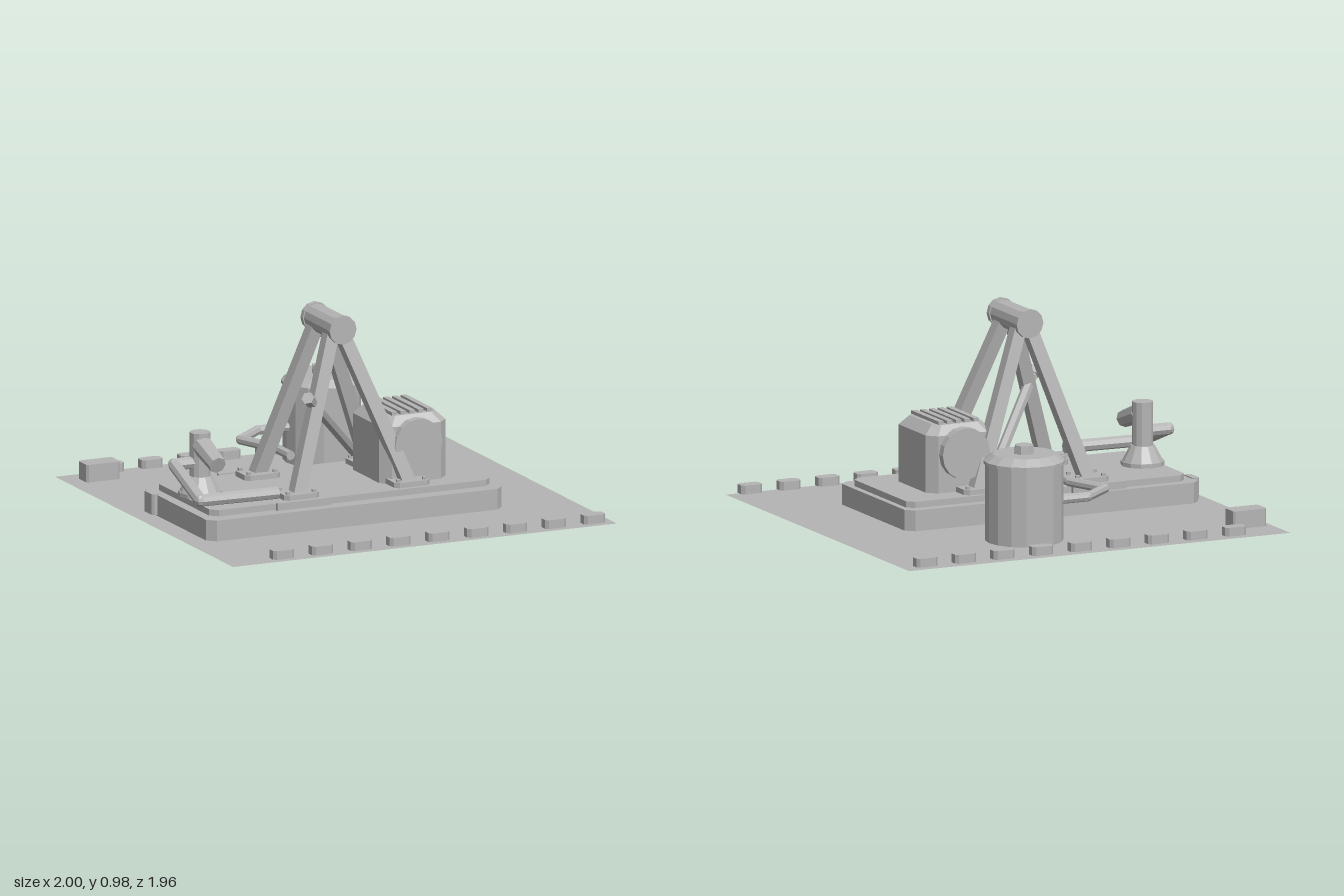
import * as THREE from 'three';

export function createModel() {
  const root = new THREE.Group();
  root.name = 'pumpSite';
  const grey = new THREE.MeshStandardMaterial({ color: 0xb4b4b4, flatShading: true, side: THREE.DoubleSide });
  grey.name = 'plain grey';
  const V = (x, y, z) => new THREE.Vector3(x, y, z);

  const add = (name, geo, parent = root) => {
    const m = new THREE.Mesh(geo, grey);
    m.name = name;
    parent.add(m);
    return m;
  };
  const group = (name) => {
    const g = new THREE.Group();
    g.name = name;
    root.add(g);
    return g;
  };
  // Upright block with its four vertical corners cut off by c
  const block = (name, [x0, x1], [y0, y1], [z0, z1], c, parent) => {
    const pts = [
      [x0 + c, -z1], [x1 - c, -z1], [x1, -z1 + c], [x1, -z0 - c],
      [x1 - c, -z0], [x0 + c, -z0], [x0, -z0 - c], [x0, -z1 + c],
    ].map(([x, y]) => new THREE.Vector2(x, y));
    const geo = new THREE.ExtrudeGeometry(new THREE.Shape(pts), { depth: y1 - y0, bevelEnabled: false });
    geo.rotateX(-Math.PI / 2).translate(0, y0, 0);
    return add(name, geo, parent);
  };
  // Round or square bar between two points
  const bar = (name, a, b, r0, r1, sides, parent) => {
    const dir = b.clone().sub(a);
    const geo = new THREE.CylinderGeometry(r1, r0, dir.length(), sides);
    if (sides === 4) geo.rotateY(Math.PI / 4);
    const m = add(name, geo, parent);
    m.position.copy(a).add(b).multiplyScalar(0.5);
    m.quaternion.setFromUnitVectors(V(0, 1, 0), dir.normalize());
    return m;
  };
  // Faceted pipe with knuckles at its bends
  const pipe = (name, pts, r) => {
    const g = group(name);
    for (let i = 1; i < pts.length; i++) {
      bar('pipeLength', pts[i - 1], pts[i], r, r, 8, g);
      if (i < pts.length - 1) {
        add('pipeElbow', new THREE.SphereGeometry(r, 8, 6), g).position.copy(pts[i]);
      }
    }
  };

  // Ground sheet and its edge blocks
  add('ground', new THREE.PlaneGeometry(2, 1.96).rotateX(-Math.PI / 2));
  const kerb = group('edgeBlocks');
  for (const z of [-0.935, 0.94]) {
    for (let i = 0; i < 9; i++) {
      const x = -0.727 + i * 0.2025;
      block('edgeBlock', [x - 0.055, x + 0.055], [0.008, 0.05], [z - 0.033, z + 0.033], 0.015, kerb);
    }
  }
  block('cornerBox', [-0.94, -0.765], [0.015, 0.1], [-0.855, -0.755], 0.01);

  // Stepped plinth
  block('plinth', [-0.91, 0.63], [0.01, 0.11], [-0.215, 0.53], 0.04);
  block('plinthTop', [-0.86, 0.6], [0.11, 0.14], [-0.165, 0.455], 0.035);
  block('plinthLug', [-0.935, -0.9], [0.015, 0.115], [-0.145, -0.045], 0.01);
  for (const z of [-0.18, 0.467]) {
    block('plinthRail', [-0.53, -0.25], [0.11, 0.145], [z - 0.01, z + 0.01], 0.002);
  }

  // Four-legged frame with bolted feet
  const frame = group('frame');
  for (const side of [-1, 1]) {
    for (const end of [-1, 1]) {
      const fx = side < 0 ? -0.375 : 0.2;
      const fz = 0.145 + end * 0.215;
      bar('leg', V(fx, 0.15, 0.145 + end * 0.22), V(-0.11 + side * 0.025, 0.88, 0.145 + end * 0.085), 0.046, 0.043, 4, frame);
      block('foot', [fx - 0.092, fx + 0.092], [0.14, 0.165], [fz - 0.072, fz + 0.072], 0.02, frame);
      for (const bx of [-0.068, 0.068]) {
        for (const bz of [-0.048, 0.048]) {
          add('footBolt', new THREE.CylinderGeometry(0.012, 0.012, 0.014, 6), frame)
            .position.set(fx + bx, 0.171, fz + bz);
        }
      }
    }
  }
  bar('head', V(-0.11, 0.905, 0.0), V(-0.11, 0.905, 0.3), 0.064, 0.064, 12, frame);
  for (const z of [-0.012, 0.285]) {
    bar('headCollar', V(-0.11, 0.905, z), V(-0.11, 0.905, z + 0.026), 0.07, 0.07, 12, frame);
  }

  // Slanted rod through the frame
  const rod = group('rod');
  const rodTop = V(-0.31, 0.605, 0.345), rodFoot = V(0.14, 0.2, -0.1);
  bar('rodShaft', rodFoot, rodTop, 0.026, 0.026, 6, rod);
  bar('rodTip', rodTop.clone().lerp(rodFoot, 0.06), rodTop, 0.031, 0.031, 6, rod);

  // Motor housing with sloped top, ribs and end discs
  const motor = group('motor');
  block('motorBody', [0.085, 0.43], [0.14, 0.415], [-0.04, 0.34], 0.045, motor);
  const lid = block('motorLid', [0.085, 0.43], [0.415, 0.46], [-0.04, 0.34], 0.045, motor).geometry;
  const p = lid.attributes.position;
  for (let i = 0; i < p.count; i++) {
    if (p.getY(i) > 0.44) {
      p.setX(i, 0.2575 + (p.getX(i) - 0.2575) * 0.74);
      p.setZ(i, 0.15 + (p.getZ(i) - 0.15) * 0.82);
    }
  }
  lid.computeVertexNormals();
  for (let i = 0; i < 5; i++) {
    add('motorRib', new THREE.BoxGeometry(0.028, 0.02, 0.29), motor)
      .position.set(0.165 + i * 0.046, 0.466, 0.15);
  }
  for (const [a, b] of [[-0.08, -0.03], [0.33, 0.37]]) {
    bar('motorDisc', V(0.257, 0.326, a), V(0.257, 0.326, b), 0.124, 0.124, 16, motor);
  }

  // Tank with sloped roof and filler cap
  const tank = group('tank');
  const profile = [[0, 0.025], [0.185, 0.025], [0.185, 0.395], [0.193, 0.395], [0.193, 0.41], [0.15, 0.442], [0, 0.442]]
    .map(([r, y]) => new THREE.Vector2(r, y));
  add('tankBody', new THREE.LatheGeometry(profile, 16), tank).position.set(0.246, 0, -0.675);
  add('tankCap', new THREE.CylinderGeometry(0.046, 0.05, 0.045, 8), tank).position.set(0.246, 0.46, -0.675);
  pipe('tankPipe', [V(0.08, 0.2, -0.67), V(-0.09, 0.2, -0.67), V(-0.245, 0.2, -0.535),
    V(-0.165, 0.2, -0.32), V(-0.165, 0.2, -0.15)], 0.023);

  // Standpipe with flared base, spout and outlet line
  const stand = group('standpipe');
  const at = (y, x = -0.775) => V(x, y, 0.14);
  bar('standFlange', at(0.14), at(0.16), 0.104, 0.104, 12, stand);
  bar('standFlare', at(0.16), at(0.235), 0.098, 0.058, 12, stand);
  bar('standPost', at(0.23), at(0.445), 0.05, 0.05, 12, stand);
  bar('spout', V(-0.775, 0.385, 0.16), V(-0.775, 0.325, 0.335), 0.05, 0.042, 8, stand);
  pipe('outletPipe', [at(0.3), at(0.3, -0.91), V(-0.91, 0.19, 0.43), V(-0.515, 0.19, 0.445)], 0.03);

  return root;
}
